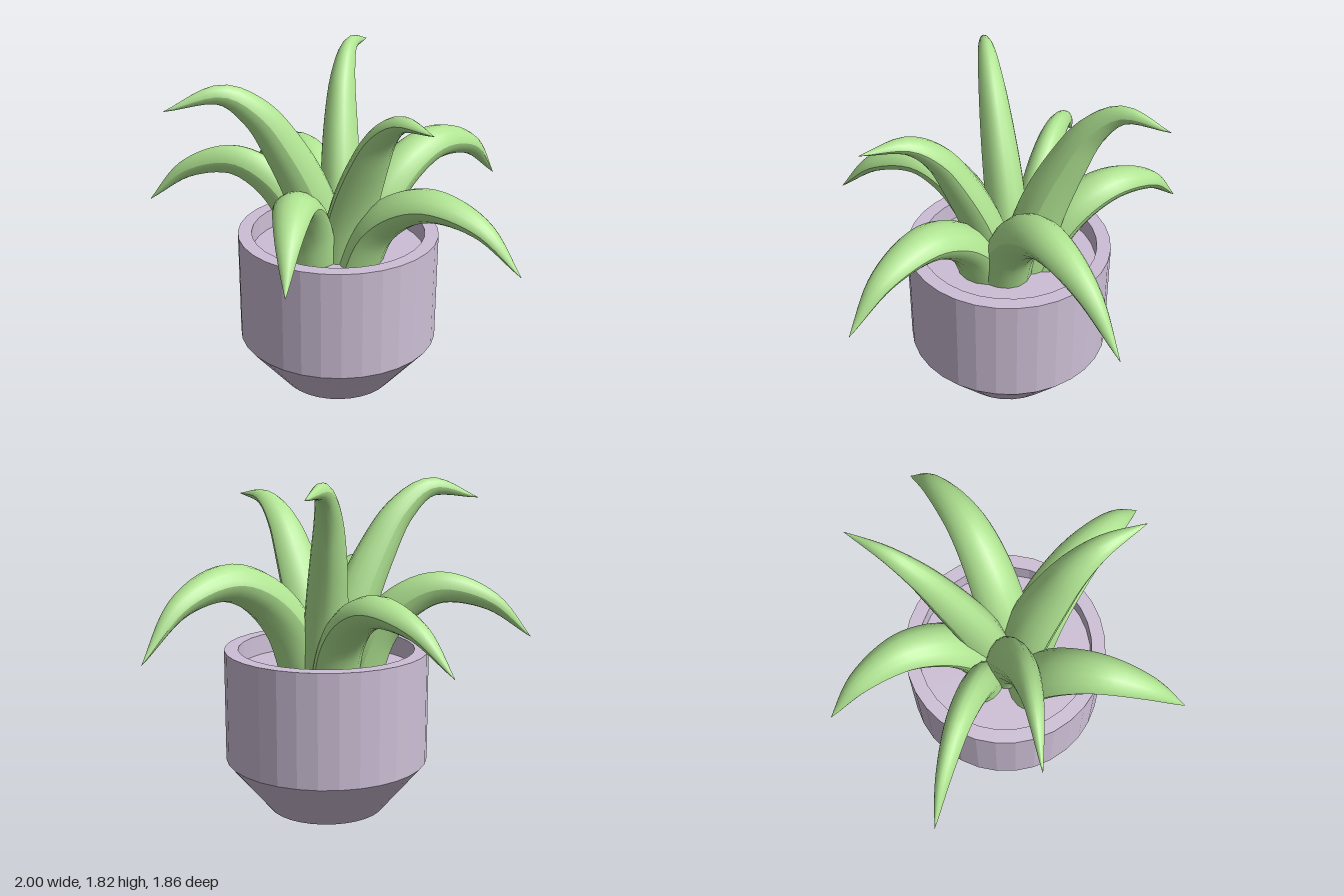
import * as THREE from 'three';

const POT_X = 0.05, POT_Z = -0.05;
const ROOT_Y = 0.72;

// Leaf centreline shapes: [fraction of reach, fraction of peak height]
const LOW_ARCH = [[0, 0], [0.11, 0.53], [0.28, 0.86], [0.48, 1], [0.76, 0.87]];
const TALL_ARCH = [[0, 0], [0.11, 0.36], [0.29, 0.68], [0.45, 0.88], [0.66, 1]];

// Each leaf: root [x, z], tip [x, y, z], centreline peak height, sideways bend,
// half width, half thickness, arch shape
const LEAVES = [
  { root: [0.03, -0.19], tip: [-0.45, 0.93, -0.93], peak: 1.185, bend: 0.06, w: 0.145, h: 0.11, arch: LOW_ARCH },
  { root: [0.16, -0.04], tip: [1.00, 0.98, -0.68], peak: 1.30, bend: 0.04, w: 0.145, h: 0.13, arch: LOW_ARCH },
  { root: [0.15, 0.07], tip: [0.93, 0.92, 0.62], peak: 1.185, bend: 0, w: 0.155, h: 0.11, arch: LOW_ARCH },
  { root: [-0.11, 0.08], tip: [-0.23, 0.98, 0.93], peak: 1.235, bend: 0.02, w: 0.15, h: 0.11, arch: LOW_ARCH },
  { root: [-0.11, -0.13], tip: [-1.00, 0.98, -0.31], peak: 1.24, bend: 0.02, w: 0.09, h: 0.115, arch: LOW_ARCH },
  { root: [0.07, -0.13], tip: [0.24, 1.76, -0.84], peak: 1.775, bend: -0.06, w: 0.12, h: 0.135, arch: TALL_ARCH },
  { root: [0.08, 0.02], tip: [0.47, 1.66, 0.62], peak: 1.65, bend: 0, w: 0.16, h: 0.115, arch: TALL_ARCH },
  { root: [-0.01, -0.05], tip: [-0.83, 1.66, 0.21], peak: 1.725, bend: -0.03, w: 0.115, h: 0.135, arch: TALL_ARCH },
];

// One sheet of a leaf, swept along the curve; start angle 0 = upper, PI = lower
function leafSheet(curve, side, width, thickness, startAngle) {
  const rows = 28, cols = 8, pos = [], idx = [];
  for (let i = 0; i <= rows; i++) {
    const t = i / rows;
    const p = curve.getPointAt(t);
    const normal = new THREE.Vector3().crossVectors(side, curve.getTangentAt(t)).normalize();
    const taper = 1 - Math.pow(t, 2.2);
    const w = width * taper + 0.001;
    const h = thickness * taper + 0.001;
    for (let j = 0; j <= cols; j++) {
      const a = startAngle + Math.PI * j / cols;
      const s = Math.sin(a);
      const v = p.clone().addScaledVector(side, w * Math.cos(a))
        .addScaledVector(normal, h * s * Math.pow(Math.abs(s), 0.3));
      pos.push(v.x, v.y, v.z);
      if (i < rows && j < cols) {
        const k = i * (cols + 1) + j, n = k + cols + 1;
        idx.push(k, n, k + 1, k + 1, n, n + 1);
      }
    }
  }
  const geo = new THREE.BufferGeometry();
  geo.setAttribute('position', new THREE.Float32BufferAttribute(pos, 3));
  geo.setIndex(idx);
  geo.computeVertexNormals();
  return geo;
}

// Arched, tapering leaf with a crease along both edges
function makeLeaf({ root, tip, peak, bend, w, h, arch }, material) {
  const [rx, rz] = root, [tx, ty, tz] = tip;
  const side = new THREE.Vector3(tx - rx, 0, tz - rz)
    .cross(new THREE.Vector3(0, 1, 0)).normalize();
  const points = arch.map(([f, rise]) => new THREE.Vector3(
    rx + (tx - rx) * f, ROOT_Y + (peak - ROOT_Y) * rise, rz + (tz - rz) * f)
    .addScaledVector(side, bend * Math.sin(Math.PI * f)));
  points.push(new THREE.Vector3(tx, ty, tz));
  const curve = new THREE.CatmullRomCurve3(points, false, 'centripetal');
  const leaf = new THREE.Group();
  leaf.name = 'leaf';
  [['leafUpperSide', 0], ['leafUnderside', Math.PI]].forEach(([name, angle]) => {
    const mesh = new THREE.Mesh(leafSheet(curve, side, w, h, angle), material);
    mesh.name = name;
    leaf.add(mesh);
  });
  return leaf;
}

export function createModel() {
  const model = new THREE.Group();
  model.name = 'pottedPlant';
  const potMaterial = new THREE.MeshStandardMaterial({ color: 0xcdbfd6, flatShading: true });
  const leafMaterial = new THREE.MeshStandardMaterial({ color: 0xb0e492, side: THREE.DoubleSide });

  // Faceted pot with sloped foot, thick rim and recessed inner floor
  const profile = [
    [0, 0], [0.315, 0], [0.55, 0.28], [0.55, 0.89], [0.475, 0.89], [0.475, 0.78], [0, 0.78],
  ].map(([r, y]) => new THREE.Vector2(r, y));
  const pot = new THREE.Mesh(new THREE.LatheGeometry(profile, 32), potMaterial);
  pot.name = 'pot';
  pot.position.set(POT_X, 0, POT_Z);
  model.add(pot);

  // Two tiers of leaves
  const leaves = new THREE.Group();
  leaves.name = 'leaves';
  LEAVES.forEach((spec) => leaves.add(makeLeaf(spec, leafMaterial)));
  model.add(leaves);
  return model;
}
